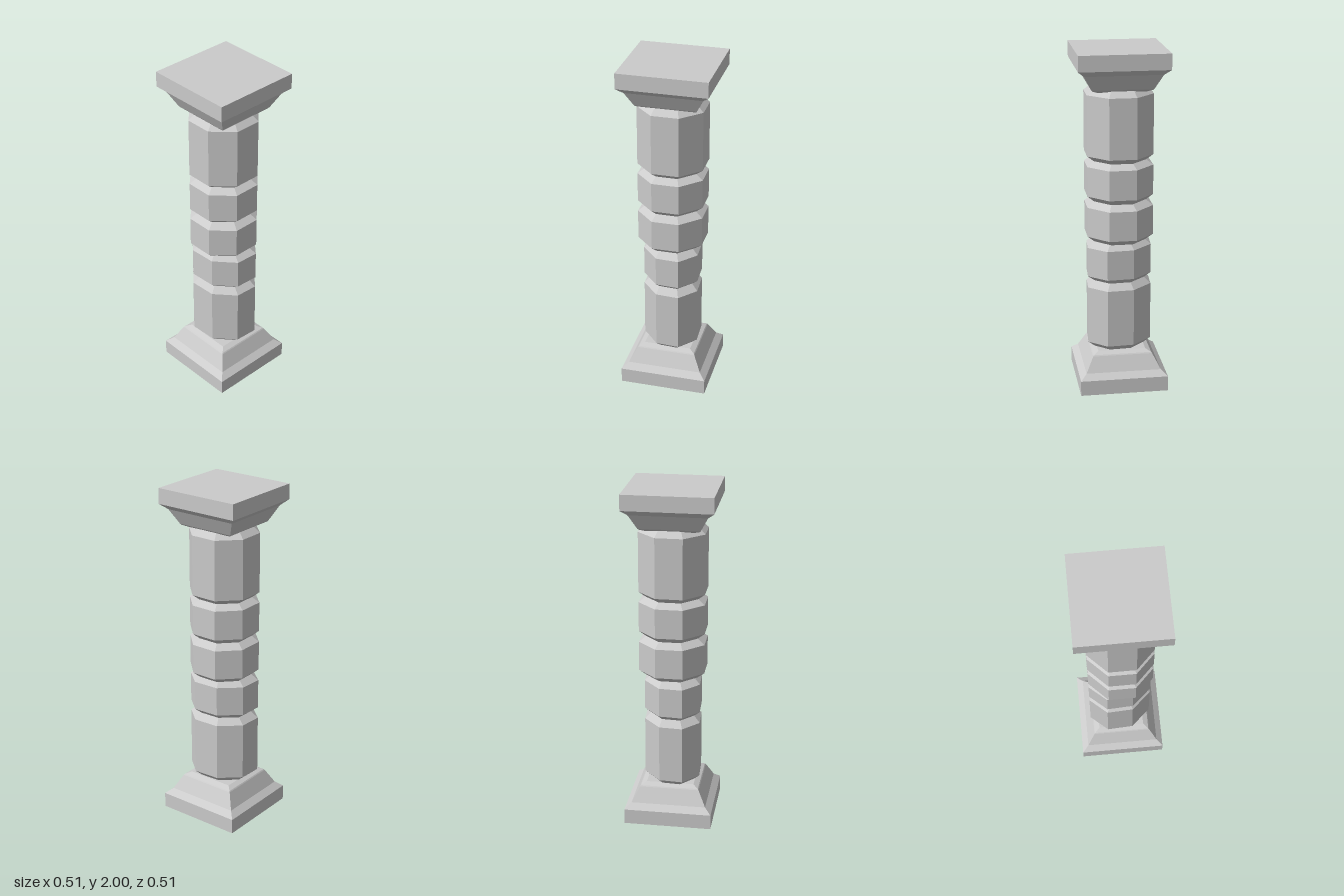
import * as THREE from 'three';

const stone = new THREE.MeshStandardMaterial({ color: 0xcccccc, flatShading: true });

// Closed prism swept from [apothem, y] profile points, with flat sides facing the axes.
function facetedSolid(name, sides, profile) {
  const toCorner = 1 / Math.cos(Math.PI / sides);
  const points = profile.map(([a, y]) => new THREE.Vector2(a * toCorner, y));
  points.unshift(new THREE.Vector2(0, profile[0][1]));
  points.push(new THREE.Vector2(0, profile[profile.length - 1][1]));
  const geometry = new THREE.LatheGeometry(points, sides);
  geometry.rotateY(Math.PI / sides);
  const mesh = new THREE.Mesh(geometry, stone);
  mesh.name = name;
  return mesh;
}

// Octagonal drum with bevelled top and bottom edges.
function drum(name, y0, y1, y2, y3) {
  const wide = 0.19, narrow = 0.15;
  return facetedSolid(name, 8, [[narrow, y0], [wide, y1], [wide, y2], [narrow, y3]]);
}

export function createModel() {
  const column = new THREE.Group();
  column.name = 'column';

  // Square base and its mirrored capital: plinth, flared moulding, small bevel
  const footing = [[0.257, 0], [0.257, 0.09], [0.22, 0.122], [0.175, 0.208], [0.17, 0.214], [0.14, 0.228]];
  const crown = footing.map(([a, y]) => [a, 2 - y]).reverse();
  column.add(facetedSolid('base', 4, footing));
  column.add(facetedSolid('capital', 4, crown));

  // Shaft drums from bottom to top
  const lower = [
    drum('bottomDrum', 0.227, 0.262, 0.606, 0.643),
    drum('lowerDrum', 0.643, 0.675, 0.85, 0.884),
  ];
  const upper = [
    drum('middleDrum', 0.884, 0.918, 1.093, 1.125),
    drum('upperDrum', 1.125, 1.16, 1.334, 1.363),
    drum('topDrum', 1.363, 1.396, 1.747, 1.786),
  ];

  // The two lower drums are narrower in x and slightly skewed along the diagonal
  const skew = new THREE.Matrix4().makeBasis(
    new THREE.Vector3(0.86, 0, 0.05),
    new THREE.Vector3(0, 1, 0),
    new THREE.Vector3(0.05, 0, 0.98),
  );
  lower.forEach((mesh) => mesh.geometry.applyMatrix4(skew));
  column.add(...lower, ...upper);

  return column;
}
